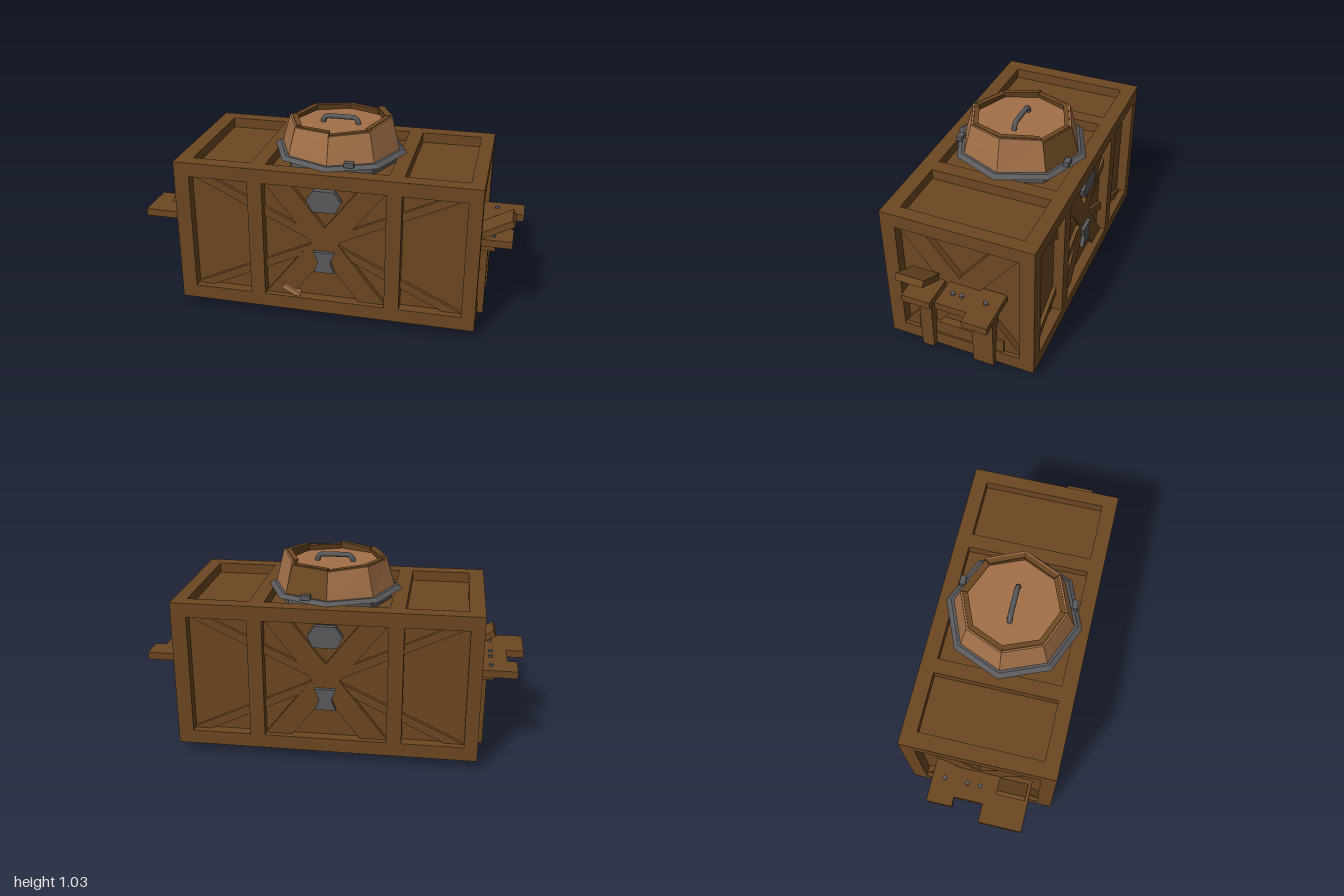
import * as THREE from 'three';

const mat = (name, color, side = THREE.FrontSide) => {
  const m = new THREE.MeshStandardMaterial({ color, side });
  m.name = name;
  return m;
};

export function createModel() {
  const wood = mat('brown wood', 0x6c4822);
  const copper = mat('pale wood', 0xa27048);
  const metal = mat('grey metal', 0x5a5a5c);
  const root = new THREE.Group();
  root.name = 'crate';
  const CX = 0.015, CY = 0.4425, W = 1.57, H = 0.785, D = 0.79, T = 0.055, R = 0.318;

  const add = (parent, name, geo, material, x = 0, y = 0, z = 0) => {
    const mesh = new THREE.Mesh(geo, material);
    mesh.name = name;
    mesh.position.set(x, y, z);
    parent.add(mesh);
    return mesh;
  };
  // Box given by its minimum and maximum along each axis
  const span = (parent, name, material, x0, x1, y0, y1, z0, z1) =>
    add(parent, name, new THREE.BoxGeometry(x1 - x0, y1 - y0, z1 - z0), material,
      (x0 + x1) / 2, (y0 + y1) / 2, (z0 + z1) / 2);
  const extrude = (pts, depth, holes = []) => {
    const shape = new THREE.Shape(pts.map(p => new THREE.Vector2(...p)));
    for (const h of holes) shape.holes.push(new THREE.Path(h.map(p => new THREE.Vector2(...p))));
    return new THREE.ExtrudeGeometry(shape, { depth, bevelEnabled: false });
  };
  const rect = (a, b, c, d) => [[a, c], [b, c], [b, d], [a, d]];

  // Core behind the recessed panels
  add(root, 'core', new THREE.BoxGeometry(W - 2 * T, H - 2 * T, D - 2 * T), wood, CX, CY, 0);

  // Frame face lying in XY with its outer surface at z = 0
  const frame = (name, w, h, openings) => {
    const g = new THREE.Group();
    g.name = name;
    const holes = openings.map(([a, b]) => rect(a, b, -R, R));
    add(g, 'frame', extrude(rect(-w / 2, w / 2, -h / 2, h / 2), T, holes), wood, 0, 0, -T);
    root.add(g);
    return g;
  };
  // Crossed boards running from corner to corner of a panel
  const cross = (g, half, width, top) => {
    for (const s of [1, -1]) {
      const p = [[-half, R], [-half, R - 0.001], [half - width, -R], [half, -R], [half, -R + 0.001], [-half + width, R]]
        .map(([x, y]) => [x * s, y]);
      add(g, 'crossBoard', extrude(s > 0 ? p : p.reverse(), T + top), wood, 0, 0, -T);
    }
  };
  const three = [[-0.705, -0.395], [-R, R], [0.395, 0.715]];

  // Long faces with crossed boards and metal fittings
  const hexPlate = [[-0.055, 0.055], [-0.09, 0], [-0.06, -0.06], [0.06, -0.06], [0.09, 0], [0.055, 0.055]];
  const waistPlate = [[-0.055, 0.058], [-0.032, 0], [-0.055, -0.058], [0.055, -0.058], [0.032, 0], [0.055, 0.058]];
  for (const s of [1, -1]) {
    const g = frame(s > 0 ? 'frontFace' : 'backFace', W, H, three);
    g.position.set(CX, CY, s * D / 2);
    g.rotation.y = s > 0 ? 0 : Math.PI;
    cross(g, R, 0.14, -0.03);
    cross(g, 0.715, 0.1, -0.036);
    add(g, 'upperFitting', extrude(hexPlate, 0.03), metal, 0, 0.245, -0.04);
    add(g, 'lowerFitting', extrude(waistPlate, 0.03), metal, 0, -0.1, -0.04);
    if (s > 0) {
      const chip = add(g, 'looseSplinter', new THREE.BoxGeometry(0.1, 0.03, 0.03), copper, -0.18, -0.29, -0.03);
      chip.rotation.z = -0.5;
    }
  }

  // Short faces
  for (const s of [1, -1]) {
    const g = frame(s > 0 ? 'leftFace' : 'rightFace', D, H, [[-R, R]]);
    g.position.set(CX + s * W / 2, CY, 0);
    g.rotation.y = s * Math.PI / 2;
    cross(g, R, 0.14, -0.02);
  }

  // Top and bottom
  for (const s of [1, -1]) {
    const g = frame(s > 0 ? 'topFace' : 'bottomFace', W, D, three);
    g.position.set(CX, CY + s * H / 2, 0);
    g.rotation.x = -s * Math.PI / 2;
  }

  // End shelves: [z0, z1, reach] for each plank
  const ends = [
    { s: 1, planks: [[-0.24, -0.11, 0.195], [-0.11, 0.055, 0.135], [0.075, 0.225, 0.15]],
      slant: [0.1, 0.245, 0.17, 0.52], bolts: [0.0, -0.045, -0.17, 0.18] },
    { s: -1, planks: [[-0.235, -0.1, 0.185], [-0.1, 0.05, 0.135], [0.05, 0.275, 0.23]],
      slant: [0.11, 0.26, 0.085, 0.52], bolts: [-0.17, -0.05, 0.02, 0.18] },
  ];
  for (const { s, planks, slant, bolts } of ends) {
    const g = new THREE.Group();
    g.name = s > 0 ? 'leftShelf' : 'rightShelf';
    g.position.x = CX + s * W / 2;
    root.add(g);
    const out = (name, a, b, y0, y1, z0, z1) =>
      span(g, name, wood, Math.min(s * a, s * b), Math.max(s * a, s * b), y0, y1, z0, z1);
    for (const [z0, z1, reach] of planks) out('shelfPlank', -0.04, reach, 0.453, 0.492, z0, z1);
    out('shelfBearer', -0.04, 0.065, 0.425, 0.453, -0.2, 0.215);
    out('post', -0.04, 0.03, 0.05, 0.425, 0.14, 0.205);
    out('post', -0.04, 0.03, 0.05, 0.425, -0.19, -0.08);
    out('lowerRail', -0.05, -0.008, 0.125, 0.2, -0.23, 0.235);
    const [z0, z1, len, y] = slant;
    const board = add(g, 'slantedPlank', new THREE.BoxGeometry(len, 0.035, z1 - z0), wood,
      s * len * 0.43, y + len * 0.25, (z0 + z1) / 2);
    board.rotation.z = s * 0.5;
    for (const z of bolts) add(g, 'bolt', new THREE.CylinderGeometry(0.013, 0.013, 0.012, 6), metal, s * 0.05, 0.496, z);
  }

  // Tilted plank between two corners of an octagon, made by bending a box
  const slab = (parent, name, material, i, r0, r1, y0, y1, t, skew = 0) => {
    const geo = new THREE.BoxGeometry(1, 1, 1).toNonIndexed();
    const p = geo.attributes.position;
    const a0 = i * Math.PI / 4, a1 = a0 + Math.PI / 4;
    for (let k = 0; k < p.count; k++) {
      const u = p.getX(k) + 0.5, v = p.getY(k) + 0.5, w = p.getZ(k) - 0.5;
      const r = r0 + (r1 - r0) * v + w * t;
      p.setXYZ(k, r * (Math.sin(a0) * (1 - u) + Math.sin(a1) * u),
        y0 + (y1 - y0) * v + skew * v * (u - 0.5),
        r * (Math.cos(a0) * (1 - u) + Math.cos(a1) * u));
    }
    geo.computeVertexNormals();
    add(parent, name, geo, material);
  };

  // Octagonal hatch on top
  const hatch = new THREE.Group();
  hatch.name = 'hatch';
  hatch.position.x = CX;
  root.add(hatch);
  const octagon = (name, r1, r0, y0, y1, material) =>
    add(hatch, name, new THREE.CylinderGeometry(r1, r0, y1 - y0, 8).toNonIndexed(), material, 0, (y0 + y1) / 2, 0)
      .geometry.computeVertexNormals();
  octagon('hatchBase', 0.3, 0.3, 0.775, 0.838, metal);
  octagon('hatchFlange', 0.33, 0.355, 0.836, 0.853, metal);
  octagon('lid', 0.25, 0.28, 0.85, 0.972, copper);
  const tops = [1.0, 1.02, 1.025, 1.0, 1.0, 1.0, 1.005, 1.005];
  const tilts = [0.01, 0.015, -0.012, 0, 0.012, -0.01, 0, 0.012];
  for (let i = 0; i < 8; i++) {
    slab(hatch, 'hatchPanel', i === 3 ? wood : copper, i, 0.316, 0.273, 0.85, tops[i] - 0.004, 0.012, tilts[i]);
    slab(hatch, 'hatchRim', wood, i, 0.305, 0.262, 0.85, tops[i], 0.028, tilts[i]);
  }
  // Handle and clips
  const path = new THREE.CatmullRomCurve3([[-0.095, 0.965], [-0.09, 0.99], [-0.07, 1.005], [0.07, 1.005], [0.09, 0.99], [0.095, 0.965]]
    .map(([x, y]) => new THREE.Vector3(x, y, 0)), false, 'catmullrom', 0.2);
  add(hatch, 'handle', new THREE.TubeGeometry(path, 20, 0.014, 8), metal);
  for (const s of [1, -1])
    add(hatch, 'clip', new THREE.BoxGeometry(0.05, 0.025, 0.03), metal, 0.11, 0.862, s * 0.295);

  // Octagonal rim and metal plate underneath
  const under = new THREE.Group();
  under.name = 'bottomHatch';
  under.position.x = CX;
  root.add(under);
  add(under, 'bottomFill', new THREE.BoxGeometry(2 * R, 0.04, 2 * R), wood, 0, 0.087, 0);
  add(under, 'bottomPlate', new THREE.CylinderGeometry(0.275, 0.275, 0.01, 8), metal, 0, 0.063, 0);
  const lows = [0.004, 0.012, 0.03, 0.028, 0.03, 0.034, 0.03, 0.02];
  for (let i = 0; i < 8; i++)
    slab(under, 'bottomRim', i % 3 === 1 ? copper : wood, i, 0.27, 0.285, lows[i], 0.07, 0.028);
  return root;
}
